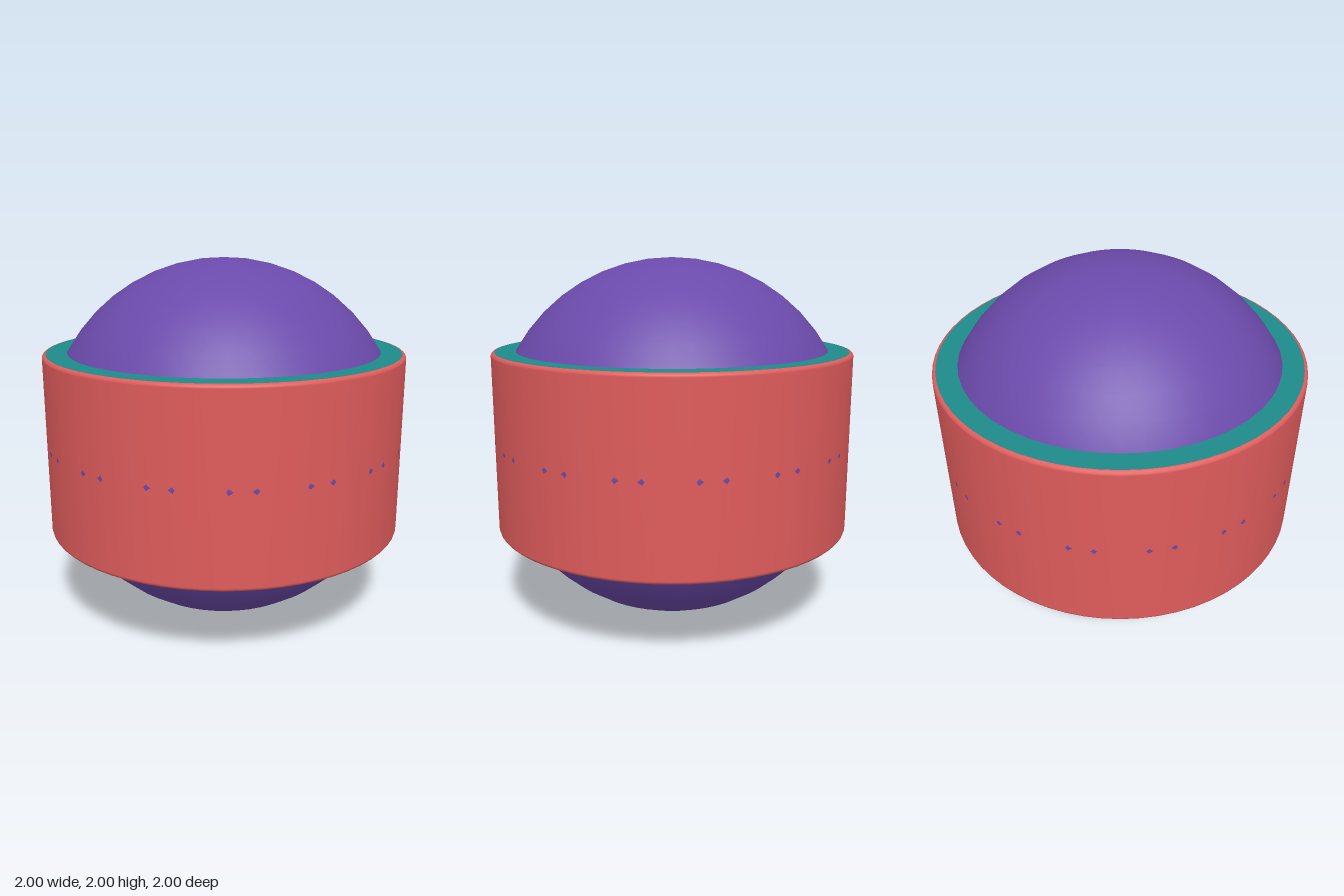
import * as THREE from 'three';

const RADIUS = 1, BAND_HALF = 0.5, BEVEL = 0.02, CENTRE_Y = 1;

export function createModel() {
  const group = new THREE.Group();

  function addPart(name, geometry, color, y) {
    const mesh = new THREE.Mesh(geometry, new THREE.MeshStandardMaterial({ color }));
    mesh.name = name;
    mesh.position.y = y;
    group.add(mesh);
    return mesh;
  }

  // Ball showing above and below the band
  addPart('ball', new THREE.SphereGeometry(RADIUS, 48, 24), 0x6b4aab, CENTRE_Y);

  // Band wall with a fine rounded edge at both ends
  const profile = [];
  for (const end of [-1, 1]) {
    for (let i = 0; i <= 3; i++) {
      const a = (end < 0 ? 3 - i : i) * Math.PI / 6;
      profile.push(new THREE.Vector2(
        RADIUS - BEVEL + BEVEL * Math.cos(a),
        end * (BAND_HALF - BEVEL + BEVEL * Math.sin(a))
      ));
    }
  }
  addPart('band', new THREE.LatheGeometry(profile, 64), 0xe05c5c, CENTRE_Y);

  // Flat end faces of the band
  for (const end of [-1, 1]) {
    const cap = addPart(end > 0 ? 'topFace' : 'bottomFace',
      new THREE.CircleGeometry(RADIUS - BEVEL, 64), 0x1f8a8a, CENTRE_Y + end * BAND_HALF);
    cap.rotation.x = -end * Math.PI / 2;
  }

  return group;
}
